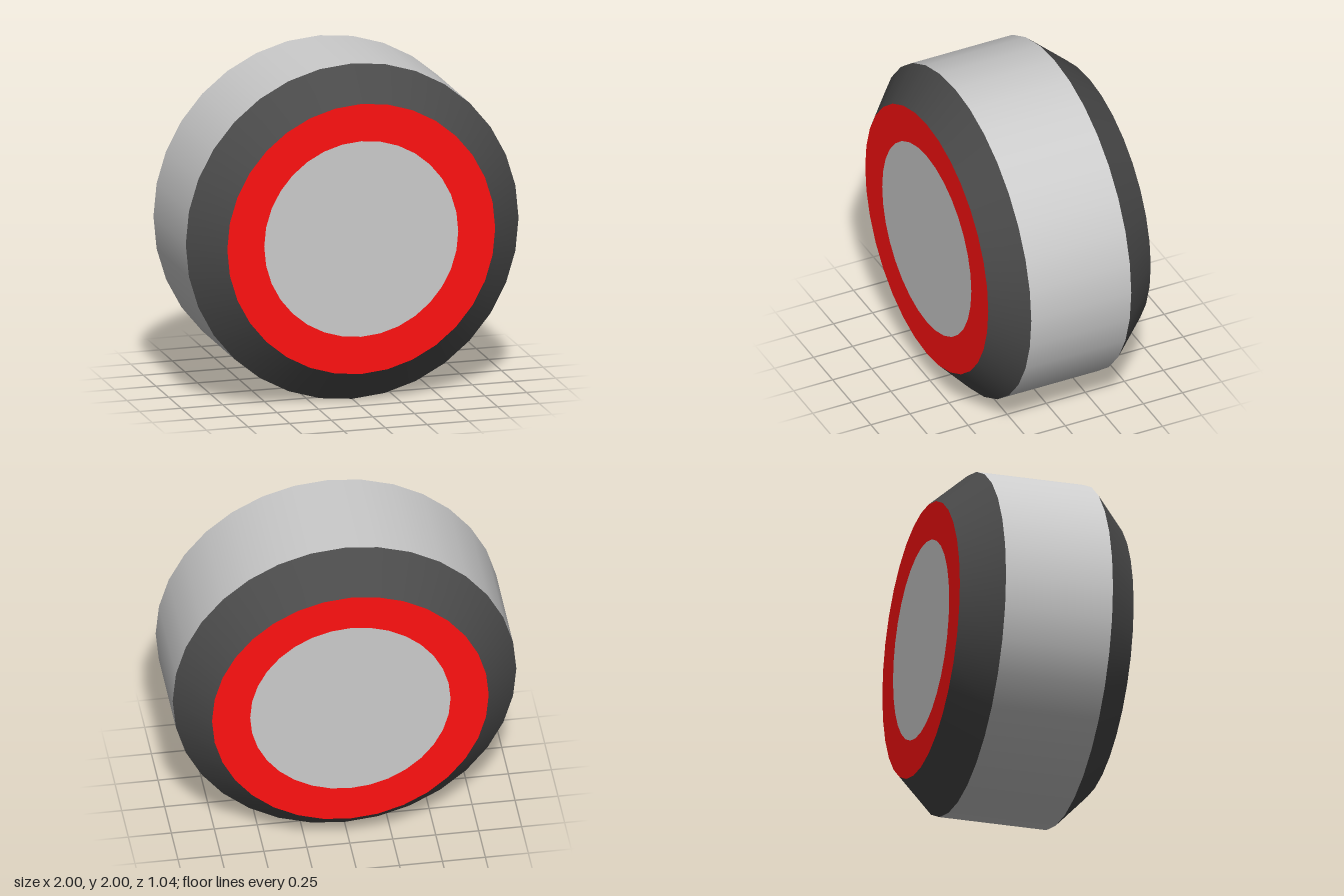
import * as THREE from 'three';

const SIDES = 32;
const TREAD_R = 1, FACE_R = 0.805, HUB_R = 0.583;
const FACE_Z = 0.52;

export function createModel() {
  const model = new THREE.Group();
  model.name = 'wheel';

  const grey = new THREE.MeshStandardMaterial({ color: 0xcccccc });
  const dark = new THREE.MeshStandardMaterial({ color: 0x4a4a4a });
  const red = new THREE.MeshStandardMaterial({ color: 0xff1111 });

  const add = (name, geometry, material) => {
    const mesh = new THREE.Mesh(geometry, material);
    mesh.name = name;
    mesh.position.y = TREAD_R;
    model.add(mesh);
    return mesh;
  };

  // Open band around the z axis from zBack to zFront
  const band = (rBack, rFront, zBack, zFront) =>
    new THREE.CylinderGeometry(rFront, rBack, zFront - zBack, SIDES, 1, true)
      .rotateX(Math.PI / 2)
      .translate(0, 0, (zFront + zBack) / 2);

  // Flat tread and the two sloping shoulders, the rear one deeper
  const treadBack = -0.3, treadFront = 0.34;
  add('tread', band(TREAD_R, TREAD_R, treadBack, treadFront), grey);
  add('frontShoulder', band(TREAD_R, FACE_R, treadFront, FACE_Z), dark);
  add('backShoulder', band(FACE_R, TREAD_R, -FACE_Z, treadBack), dark);

  // Each side has a coloured ring around a flush hub disc
  for (const side of ['front', 'back']) {
    const face = (name, geometry, material) => {
      geometry.translate(0, 0, FACE_Z);
      if (side === 'back') geometry.rotateY(Math.PI);
      add(side + name, geometry, material);
    };
    face('Ring', new THREE.RingGeometry(HUB_R, FACE_R, SIDES), red);
    face('Hub', new THREE.CircleGeometry(HUB_R, SIDES), grey);
  }

  return model;
}
